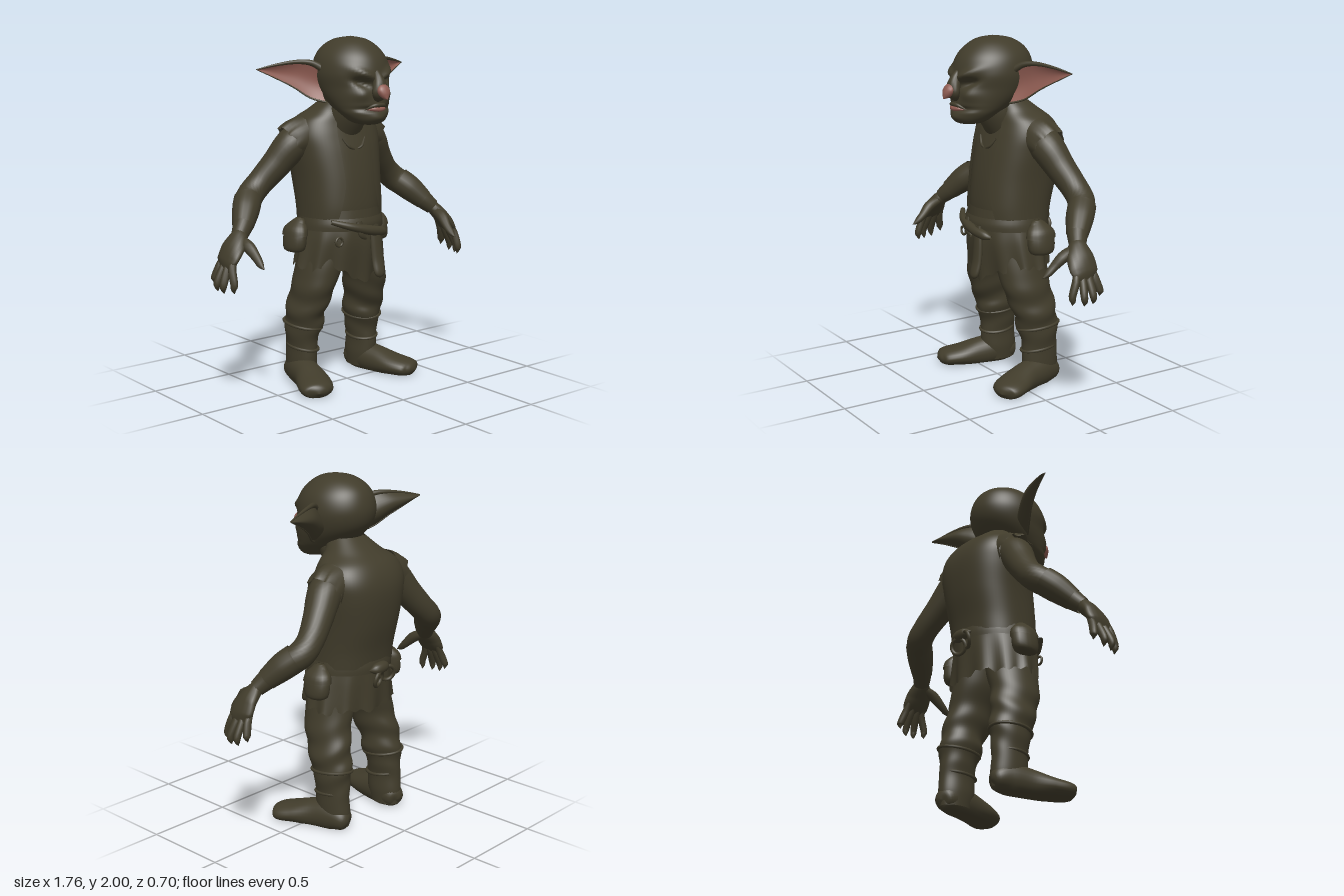
import * as THREE from 'three';
import { mergeVertices } from 'three/addons/utils/BufferGeometryUtils.js';

const olive = new THREE.MeshStandardMaterial({ color: 0x413c2b, side: THREE.DoubleSide });
olive.name = 'dark olive';
const pink = new THREE.MeshStandardMaterial({ color: 0x8f5c52, side: THREE.DoubleSide });
pink.name = 'dusky pink';

const { sin, cos, PI, abs, max, sqrt, exp, sign } = Math;
const gauss = (a, b, sa, sb) => exp(-((a / sa) ** 2) - (b / sb) ** 2);

// smooth interpolation between rows of numbers, all of the same length
function sample(rows, t) {
  const n = rows.length - 1, f = Math.min(t, 0.99999) * n, i = Math.floor(f), k = f - i;
  const row = j => rows[Math.min(n, max(0, j))];
  return rows[i].map((b, c) => {
    const a = row(i - 1)[c], d = row(i + 1)[c], e = row(i + 2)[c];
    return b + 0.5 * k * (d - a + k * (2 * a - 5 * b + 4 * d - e + k * (3 * (b - d) + e - a)));
  });
}

// grid surface from a rule fn(u, v) -> [x, y, z]
function surface(fn, nu, nv) {
  const g = new THREE.PlaneGeometry(1, 1, nu, nv), p = g.attributes.position, uv = g.attributes.uv;
  for (let i = 0; i < p.count; i++) p.setXYZ(i, ...fn(uv.getX(i), uv.getY(i)));
  g.deleteAttribute('uv');
  g.deleteAttribute('normal');
  const m = mergeVertices(g, 1e-5);
  m.computeVertexNormals();
  return m;
}

// upright loft, rows are [y, zFront, zBack, halfWidth, centreX = 0]; square below 1 makes boxier sections
function loft(rows, { nu = 48, nv = 40, grow = 0, square = 1, range = () => [0, 2 * PI], warp = p => p } = {}) {
  const full = rows.map(([y, zf, zb, w, cx = 0]) => [y, zf, zb, w, cx]);
  const box = s => sign(s) * abs(s) ** square;
  return surface((u, v) => {
    const [y, zf, zb, w, cx] = sample(full, v), [a, b] = range(v), th = a + (b - a) * u;
    return warp([cx + (w + grow) * box(sin(th)), y, (zf + zb) / 2 + ((zf - zb) / 2 + grow) * box(cos(th))], th, v);
  }, nu, nv);
}

// limb along a path, rows are [x, y, z, halfWidth, halfHeight = halfWidth]
function limb(rows, { nu = 16, nv = 28, ref = [0, 1, 0], warp = p => p } = {}) {
  const full = rows.map(([x, y, z, w, h = w]) => [x, y, z, w, h]);
  const R = new THREE.Vector3(...ref), at = t => new THREE.Vector3(...sample(full, t).slice(0, 3));
  return surface((u, v) => {
    const [x, y, z, w, h] = sample(full, v);
    const d = at(Math.min(1, v + 0.01)).sub(at(max(0, v - 0.01))).normalize();
    const e1 = R.clone().addScaledVector(d, -R.dot(d)).normalize(), e2 = d.clone().cross(e1);
    const th = u * 2 * PI;
    const p = new THREE.Vector3(x, y, z).addScaledVector(e1, max(0, h) * cos(th)).addScaledVector(e2, max(0, w) * sin(th));
    return warp([p.x, p.y, p.z], th, v);
  }, nu, nv);
}

function add(parent, name, geometry, material = olive) {
  const m = new THREE.Mesh(geometry, material);
  m.name = name;
  parent.add(m);
  return m;
}

// head with brow, eye sockets, cheeks and mouth pressed into the front
const headRows = [[1.515, 0.2, 0.2, 0], [1.53, 0.26, 0.1, 0.085], [1.58, 0.28, 0.02, 0.14], [1.65, 0.275, -0.1, 0.173],
  [1.72, 0.265, -0.175, 0.193], [1.8, 0.27, -0.203, 0.206], [1.88, 0.245, -0.19, 0.19], [1.94, 0.195, -0.15, 0.148],
  [1.983, 0.125, -0.075, 0.085], [2.0, 0.03, 0.03, 0]];
function faceWarp([x, y, z]) {
  if (z > 0) {
    const a = abs(x);
    z += 0.025 * gauss(a - 0.08, y - 1.8 - (a - 0.08) * 0.45, 0.06, 0.025)
      - 0.04 * gauss(a - 0.085, y - 1.755 - (a - 0.085) * 0.3, 0.045, 0.022)
      + 0.02 * gauss(a - 0.1, y - 1.69, 0.045, 0.035)
      - 0.02 * gauss(a - 0.04, y - 1.61, 0.09, 0.012)
      + 0.015 * gauss(a, y - 1.56, 0.06, 0.025);
  }
  return [x, y, z];
}

function buildEar(parent) {
  const low = [[0.18, 1.64, 0.035], [0.25, 1.665, -0.015], [0.33, 1.725, -0.065], [0.42, 1.775, -0.105], [0.525, 1.825, -0.135]];
  const top = [[0.18, 1.82, 0.015], [0.235, 1.855, -0.02], [0.31, 1.862, -0.06], [0.42, 1.848, -0.1], [0.525, 1.825, -0.135]];
  const sheet = depth => surface((u, v) => {
    const a = sample(low, u), b = sample(top, u), p = a.map((q, i) => q + (b[i] - q) * v);
    p[2] -= depth * sin(PI * v) * sqrt(max(0, 1 - u));
    return p;
  }, 24, 14);
  add(parent, 'innerEar', sheet(0.03), pink);
  add(parent, 'outerEar', sheet(0.07));
  add(parent, 'earTopRim', limb(top.map((p, i) => [...p, 0.021 - i * 0.0045])));
  add(parent, 'earLowerRim', limb(low.map((p, i) => [...p, 0.006 - i * 0.001])));
}

function buildArm(parent) {
  add(parent, 'arm', limb([[0.2, 1.43, -0.14, 0.09], [0.28, 1.395, -0.145, 0.097], [0.37, 1.285, -0.18, 0.084], [0.46, 1.185, -0.21, 0.075],
    [0.53, 1.12, -0.205, 0.076], [0.6, 1.06, -0.145, 0.072], [0.66, 0.99, -0.085, 0.058], [0.71, 0.94, -0.05, 0.046]], { nu: 24, nv: 40 }));
  add(parent, 'sleeveEdge', limb([[0.2, 1.44, -0.14, 0.118], [0.25, 1.425, -0.143, 0.113], [0.29, 1.4, -0.15, 0.106]],
    { nu: 36, nv: 8, warp: ([x, y, z], th, v) => [x + v * 0.009 * sin(th * 9), y + v * 0.008 * sin(th * 7), z] }));
  add(parent, 'forearmWrap', limb([[0.555, 1.105, -0.19, 0.079], [0.605, 1.055, -0.14, 0.077], [0.665, 0.985, -0.08, 0.06]]));
  add(parent, 'palm', limb([[0.69, 0.965, -0.065, 0.03], [0.72, 0.93, -0.045, 0.055, 0.04], [0.765, 0.88, -0.03, 0.078, 0.04],
    [0.805, 0.82, -0.025, 0.082, 0.03], [0.825, 0.78, -0.025, 0.05, 0.01]]));
  const tips = [[0.825, 0.65, 0.06], [0.855, 0.645, 0.005], [0.858, 0.65, -0.05], [0.84, 0.68, -0.105]];
  tips.forEach(([x, y, z], i) => add(parent, 'finger' + (i + 1), limb([[0.785, 0.84, 0.025 - i * 0.036, 0.015],
    [0.815, 0.785, 0.033 - i * 0.04, 0.022], [x - 0.002, (y + 0.76) / 2, z + 0.002, 0.021], [x, y + 0.025, z, 0.015], [x - 0.006, y, z, 0]],
    { nu: 10, nv: 14, ref: [1, 0, 0] })));
  add(parent, 'thumb', limb([[0.71, 0.92, -0.03, 0.025], [0.71, 0.89, 0.04, 0.033], [0.7, 0.84, 0.095, 0.025], [0.7, 0.805, 0.135, 0.018],
    [0.7, 0.785, 0.17, 0]], { nu: 10, nv: 14, ref: [1, 0, 0] }));
}

function buildLeg(parent) {
  const rows = [[0.02, -0.06, -0.255, 0.065, 0.22], [0.1, -0.04, -0.262, 0.076, 0.222], [0.2, -0.035, -0.255, 0.077, 0.224],
    [0.28, -0.03, -0.255, 0.088, 0.22], [0.36, 0, -0.258, 0.102, 0.215], [0.42, 0.01, -0.25, 0.105, 0.215], [0.5, 0.045, -0.24, 0.108, 0.203],
    [0.6, 0.075, -0.22, 0.115, 0.185], [0.72, 0.09, -0.22, 0.125, 0.15], [0.85, 0.08, -0.22, 0.12, 0.13]];
  // cloth folds that wind round the leg
  add(parent, 'trouserLeg', loft(rows, { nv: 64, warp: ([x, y, z], th) => {
    const f = 0.006 * sin(y * 42 + 2.5 * sin(th + 0.6)) * gauss(y - 0.42, 0, 0.17, 1);
    return [x + f * sin(th), y, z + f * cos(th)];
  } }));
  add(parent, 'boot', limb([[0.215, 0.05, -0.265, 0, 0], [0.22, 0.055, -0.245, 0.055, 0.055], [0.23, 0.07, -0.16, 0.078, 0.09],
    [0.258, 0.06, -0.04, 0.085, 0.085], [0.297, 0.05, 0.07, 0.1, 0.062], [0.338, 0.04, 0.15, 0.094, 0.05], [0.352, 0.035, 0.185, 0.06, 0.035],
    [0.36, 0.03, 0.202, 0, 0]], { nu: 28, nv: 40, warp: ([x, y, z]) => [x, max(0, y), z] }));
  for (const [y, r] of [[0.21, 0.081], [0.345, 0.1]]) {
    const strap = add(parent, 'legStrap', new THREE.TorusGeometry(r, 0.009, 8, 28));
    strap.rotation.set(PI / 2 + 0.1, 0.1, 0);
    strap.scale.y = 1.25;
    strap.position.set(0.22, y, -0.137);
  }
}

function buildPouch(parent) {
  add(parent, 'pouch', loft([[0.785, -0.1, -0.1, 0, 0.31], [0.8, -0.03, -0.17, 0.048, 0.305], [0.86, -0.015, -0.185, 0.056, 0.3],
    [0.93, -0.03, -0.17, 0.048, 0.288], [0.975, -0.06, -0.13, 0.022, 0.27], [0.98, -0.1, -0.1, 0, 0.27]], { nu: 20, nv: 20 }));
  add(parent, 'pouchFlap', loft([[0.885, -0.007, -0.193, 0.061, 0.298], [0.93, -0.02, -0.18, 0.054, 0.29], [0.98, -0.07, -0.12, 0.018, 0.27]],
    { nu: 20, nv: 8 }));
}

export function createModel() {
  const model = new THREE.Group();
  model.name = 'goblin';

  // head and face
  add(model, 'head', loft(headRows, { nu: 80, nv: 72, warp: faceWarp }));
  add(model, 'noseBridge', limb([[0, 1.81, 0.25, 0.02], [0, 1.775, 0.272, 0.03], [0, 1.735, 0.286, 0.044, 0.036], [0, 1.695, 0.288, 0.05, 0.032],
    [0, 1.665, 0.27, 0.03, 0.02], [0, 1.65, 0.25, 0, 0]], { ref: [0, 0, 1] }));
  add(model, 'noseTip', limb([[0, 1.755, 0.3, 0.004], [0, 1.735, 0.306, 0.03, 0.022], [0, 1.71, 0.318, 0.04, 0.028],
    [0, 1.685, 0.335, 0.026, 0.021], [0, 1.665, 0.352, 0, 0]], { ref: [0, 0, 1] }), pink);
  add(model, 'upperLip', limb([[-0.08, 1.6, 0.24, 0], [-0.04, 1.627, 0.276, 0.01], [0, 1.632, 0.286, 0.011], [0.04, 1.627, 0.276, 0.01],
    [0.08, 1.6, 0.24, 0]]));
  add(model, 'lowerLip', limb([[-0.065, 1.605, 0.25, 0], [-0.035, 1.61, 0.277, 0.011], [0, 1.607, 0.285, 0.012], [0.035, 1.61, 0.277, 0.011],
    [0.065, 1.605, 0.25, 0]]), pink);
  add(model, 'neck', limb([[0, 1.42, -0.13, 0.14], [0, 1.51, -0.05, 0.125], [0, 1.6, 0.01, 0.115], [0, 1.68, 0.03, 0.1]], { nu: 28 }));

  // hunched torso, open vest over it
  const body = [[0.95, 0.125, -0.27, 0.232], [1.05, 0.13, -0.285, 0.233], [1.2, 0.115, -0.32, 0.24], [1.35, 0.085, -0.338, 0.257],
    [1.45, 0.055, -0.327, 0.262], [1.53, 0.03, -0.285, 0.228], [1.59, 0.025, -0.215, 0.15], [1.66, 0.04, -0.125, 0.09]];
  add(model, 'shirt', loft(body, { square: 0.85 }));
  add(model, 'vest', loft(body, { grow: 0.013, square: 0.85, nu: 60, range: v => {
    const a = 0.35 + 1.2 * max(0, 0.26 - v);
    return [a, 2 * PI - a];
  } }));
  for (const s of [-1, 1]) add(model, 'collarTatter', limb([[s * 0.08, 1.43, 0.06, 0.004], [s * 0.045, 1.385, 0.078, 0.009],
    [s * 0.01, 1.37, 0.083, 0.004]], { nu: 8, nv: 10 }));

  // ragged tunic skirt, longer in front
  add(model, 'tunicSkirt', loft([[0.7, 0.13, -0.275, 0.29], [0.85, 0.155, -0.28, 0.265], [0.95, 0.15, -0.28, 0.245], [1.03, 0.14, -0.285, 0.24]],
    { nu: 96, nv: 20, warp: ([x, y, z], th, v) => {
      const k = (1 - v) ** 2, f = 0.01 * k * sin(th * 11), front = z > 0 ? 0.09 * gauss(x - 0.03, 0, 0.11, 1) : 0;
      return [x + f * sin(th), y - k * (front + 0.02 * sin(th * 7) * sin(th * 13 + 1)), z + f * cos(th)];
    } }));

  // belt with hanging sheath, dagger and back loops
  add(model, 'belt', loft([[0.915, 0.165, -0.293, 0.258], [0.95, 0.168, -0.296, 0.256], [0.985, 0.158, -0.292, 0.25]], { nv: 6 }));
  add(model, 'daggerSheath', limb([[-0.2, 0.975, 0.11, 0.014], [-0.1, 0.945, 0.165, 0.022], [0.02, 0.915, 0.18, 0.028],
    [0.12, 0.895, 0.165, 0.026], [0.16, 0.885, 0.145, 0.01]]));
  add(model, 'hangingScabbard', limb([[0.06, 0.94, 0.17, 0.03, 0.012], [0.07, 0.85, 0.175, 0.038, 0.018], [0.075, 0.74, 0.185, 0.04, 0.02],
    [0.075, 0.66, 0.205, 0.034, 0.018], [0.075, 0.635, 0.21, 0, 0]], { ref: [0, 0, 1] }));
  add(model, 'hangingStrap', limb([[-0.05, 0.97, 0.17, 0.02, 0.01], [-0.04, 0.9, 0.18, 0.02, 0.01], [0.0, 0.87, 0.175, 0.01, 0.008]], { ref: [0, 0, 1] }));
  add(model, 'beltRing', new THREE.TorusGeometry(0.024, 0.007, 8, 20)).position.set(-0.16, 0.86, 0.13);
  for (const [x, y, t] of [[0.02, 0.88, 0.3], [-0.05, 0.9, -0.4]]) {
    const loop = add(model, 'backLoop', new THREE.TorusGeometry(0.045, 0.011, 8, 24));
    loop.position.set(x, y, -0.31);
    loop.rotation.set(-0.25, t, 0);
  }
  add(model, 'backKnot', limb([[-0.07, 0.95, -0.29, 0], [-0.03, 0.945, -0.305, 0.03], [0.04, 0.94, -0.305, 0.03], [0.08, 0.935, -0.29, 0]]));

  // mirrored parts
  for (const s of [1, -1]) {
    const side = new THREE.Group();
    side.name = s > 0 ? 'leftSide' : 'rightSide';
    side.scale.x = s;
    [buildEar, buildArm, buildLeg, buildPouch].forEach(build => build(side));
    model.add(side);
  }
  return model;
}
